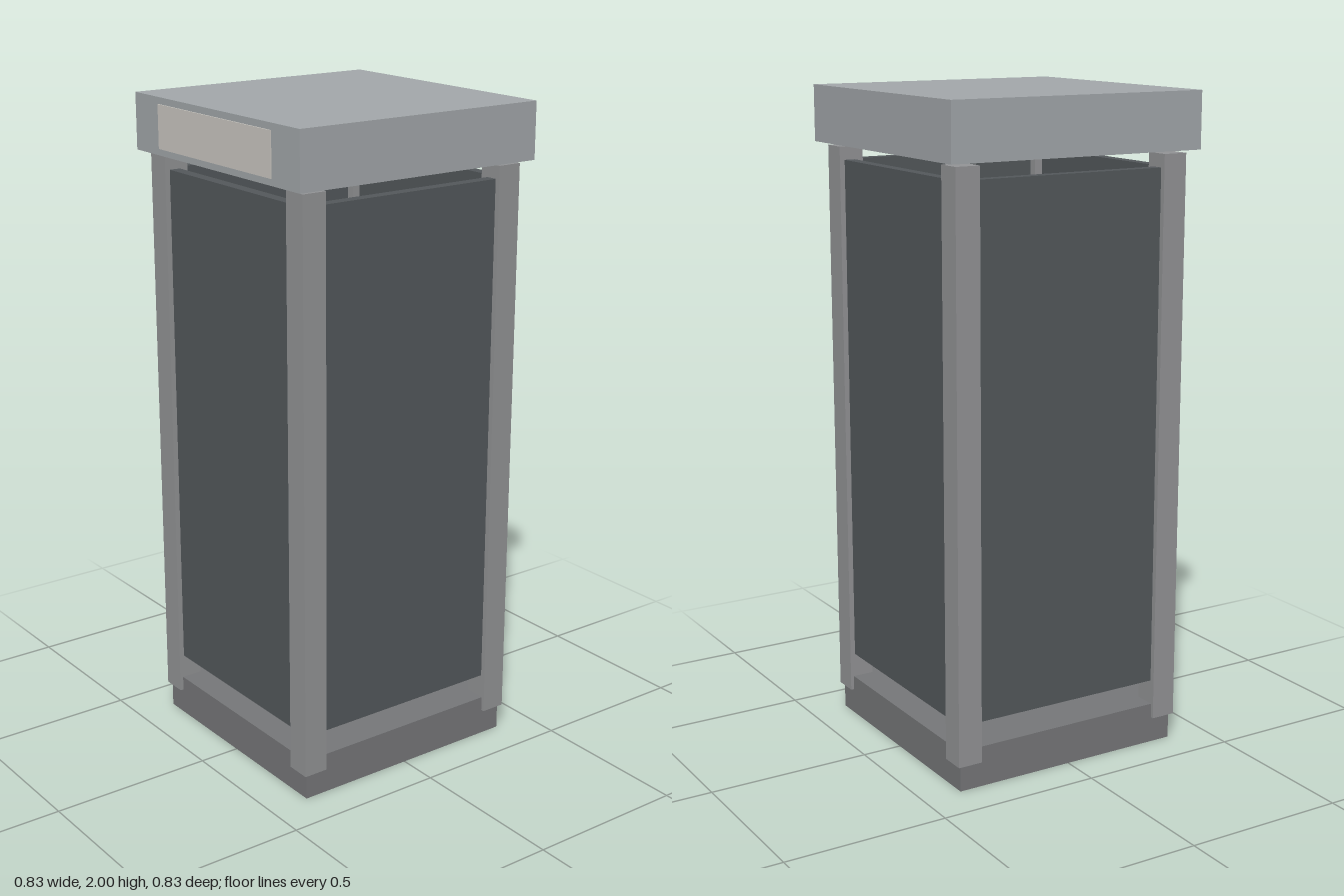
import * as THREE from 'three';

export function createModel() {
  const model = new THREE.Group();
  const mat = (color) => new THREE.MeshStandardMaterial({ color });
  const roofMat = mat(0xa4a9ac);
  const postMat = mat(0x949597);
  const panelMat = mat(0x54595c);
  const baseMat = mat(0x77787a);
  const signMat = mat(0xccc9c3);

  // Box spanning y0..y1, centred on x and z
  function box(name, w, d, y0, y1, x, z, material, parent = model) {
    const mesh = new THREE.Mesh(new THREE.BoxGeometry(w, y1 - y0, d), material);
    mesh.name = name;
    mesh.position.set(x, (y0 + y1) / 2, z);
    parent.add(mesh);
    return mesh;
  }

  // Plinth and roof slab
  box('base', 0.75, 0.75, 0, 0.125, 0, 0, baseMat);
  box('roof', 0.83, 0.83, 1.83, 2, 0, 0, roofMat);

  // Blank sign plate on the front of the roof
  box('signPlate', 0.57, 0.012, 1.85, 1.98, 0, 0.413, signMat);

  // Corner posts
  for (const x of [-1, 1]) {
    for (const z of [-1, 1]) {
      const name = (z > 0 ? 'front' : 'back') + (x > 0 ? 'Left' : 'Right') + 'Post';
      box(name, 0.077, 0.077, 0.08, 1.82, x * 0.347, z * 0.347, postMat);
    }
  }

  // Dark wall panels set between the posts, turned around the four sides
  ['front', 'left', 'back', 'right'].forEach((side, i) => {
    const wall = new THREE.Group();
    wall.name = side + 'Wall';
    wall.rotation.y = (i * Math.PI) / 2;
    box('panel', 0.618, 0.035, 0.2, 1.78, 0, 0.352, panelMat, wall);
    model.add(wall);
  });

  // The sign plate makes the front slightly deeper than the back
  model.children.forEach((part) => { part.position.z -= 0.002; });
  return model;
}
